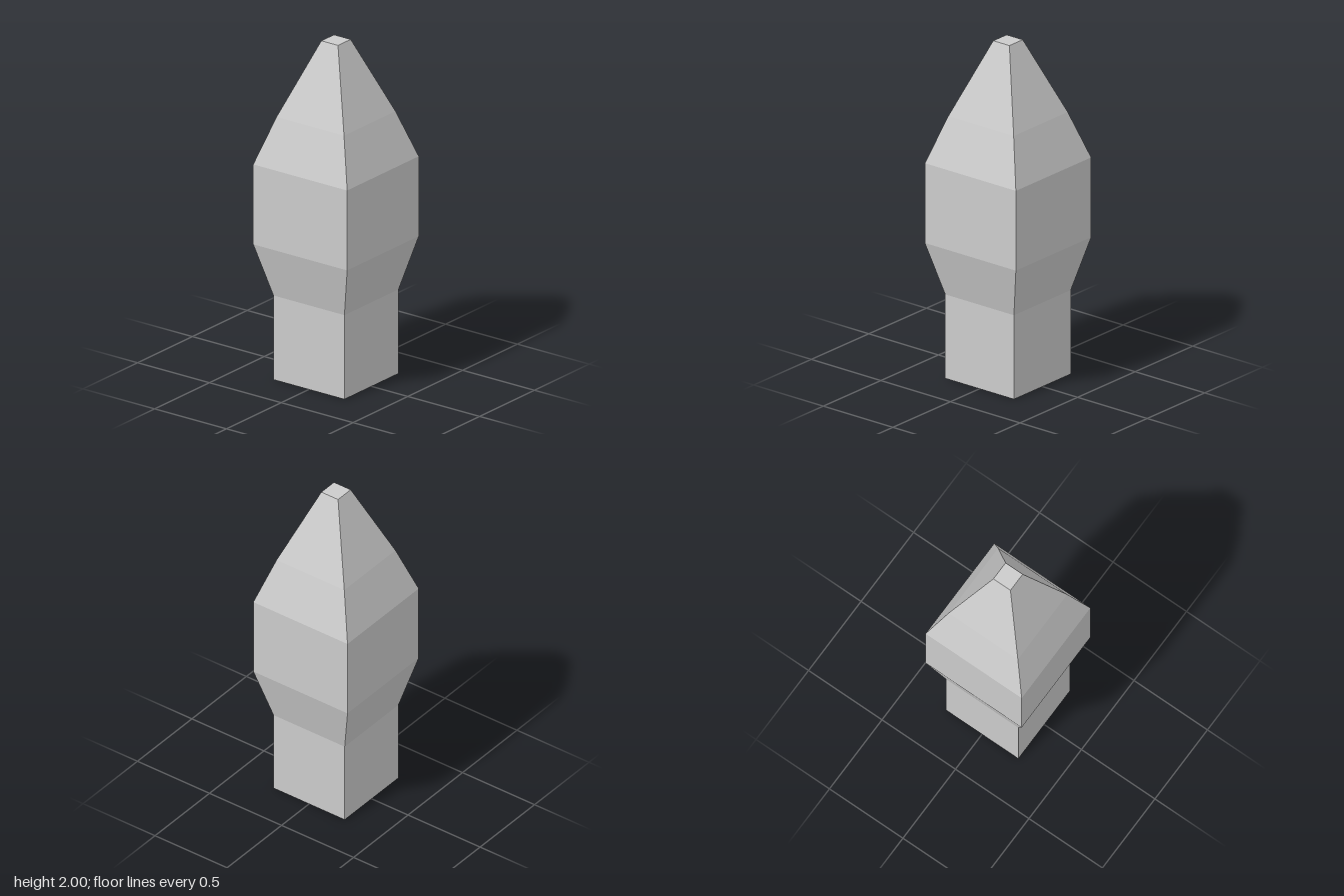
import * as THREE from 'three';

// Square cross-sections from bottom to top: [height, half width]
const SECTIONS = [
  [0, 0.247],
  [0.5, 0.247],
  [0.81, 0.327],
  [1.285, 0.327],
  [1.56, 0.235],
  [2, 0.058],
];

export function createModel() {
  const group = new THREE.Group();
  group.name = 'taperedPost';

  // A box with one row per section, each row scaled to its half width
  const rows = SECTIONS.length - 1;
  const box = new THREE.BoxGeometry(2, rows, 2, 1, rows, 1);
  const pos = box.attributes.position;
  for (let i = 0; i < pos.count; i++) {
    const [y, half] = SECTIONS[Math.round(pos.getY(i) + rows / 2)];
    pos.setXYZ(i, pos.getX(i) * half, y, pos.getZ(i) * half);
  }

  // Separate the facets so that every band keeps a hard edge
  const geometry = box.toNonIndexed();
  geometry.computeVertexNormals();

  const material = new THREE.MeshStandardMaterial({ color: 0xcccccc, flatShading: true });
  const post = new THREE.Mesh(geometry, material);
  post.name = 'post';
  group.add(post);
  return group;
}
